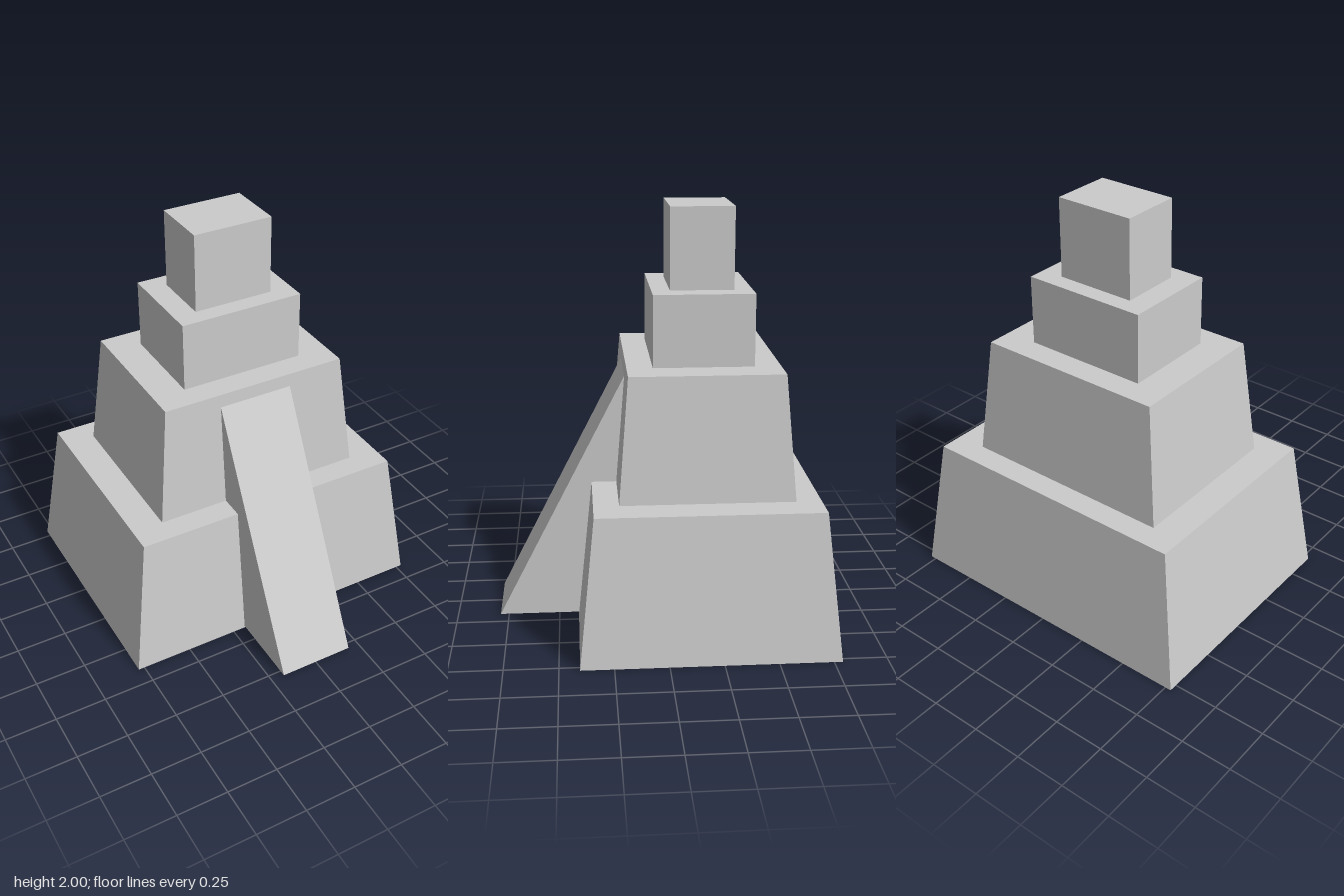
import * as THREE from 'three';

const material = new THREE.MeshStandardMaterial({ color: 0xcccccc, flatShading: true });

// Box whose top is resized: each level is [y, halfWidth, zBack, zFront]
function tier(name, [y0, w0, back0, front0], [y1, w1, back1, front1]) {
  const geometry = new THREE.BoxGeometry(2, 1, 1);
  const p = geometry.attributes.position;
  for (let i = 0; i < p.count; i++) {
    const top = p.getY(i) > 0;
    const front = p.getZ(i) > 0;
    const x = Math.sign(p.getX(i)) * (top ? w1 : w0);
    const z = top ? (front ? front1 : back1) : (front ? front0 : back0);
    p.setXYZ(i, x, top ? y1 : y0, z);
  }
  geometry.computeVertexNormals();
  const mesh = new THREE.Mesh(geometry, material);
  mesh.name = name;
  return mesh;
}

export function createModel() {
  const model = new THREE.Group();
  model.name = 'steppedPyramid';

  // Two sloped terraces, then two upright blocks
  model.add(
    tier('baseTerrace', [0, 0.78, -0.79, 0.405], [0.688, 0.685, -0.718, 0.333]),
    tier('upperTerrace', [0.688, 0.532, -0.6, 0.214], [1.275, 0.47, -0.552, 0.167]),
    tier('shrine', [1.275, 0.31, -0.428, 0.045], [1.615, 0.31, -0.428, 0.045]),
    tier('crown', [1.615, 0.198, -0.342, -0.042], [2, 0.198, -0.342, -0.042])
  );

  // Wedge ramp, drawn as a side profile (z, y) and extruded across x
  const width = 0.374;
  const profile = new THREE.Shape([
    new THREE.Vector2(0.167, 0.01),
    new THREE.Vector2(0.79, 0.01),
    new THREE.Vector2(0.167, 1.22)
  ]);
  const rampGeometry = new THREE.ExtrudeGeometry(profile, { depth: width, bevelEnabled: false });
  rampGeometry.translate(0, 0, -width / 2).rotateY(-Math.PI / 2);
  const ramp = new THREE.Mesh(rampGeometry, material);
  ramp.name = 'ramp';
  model.add(ramp);

  return model;
}
